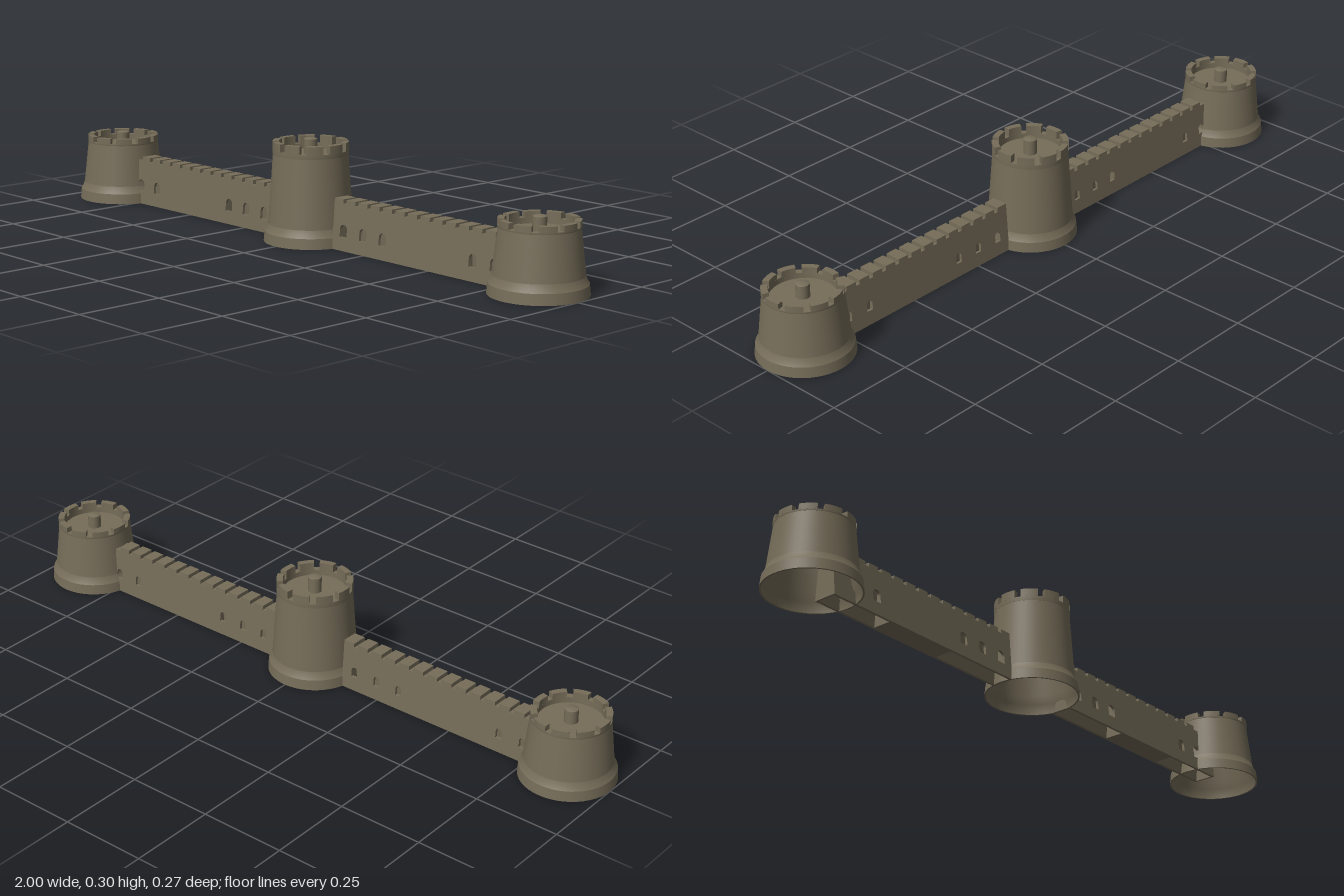
import * as THREE from 'three';

const stone = new THREE.MeshStandardMaterial({ color: 0x766d59 });
stone.name = 'stone';

function part(name, geometry, parent) {
  const mesh = new THREE.Mesh(geometry, stone);
  mesh.name = name;
  parent.add(mesh);
  return mesh;
}

// Smooth surface of revolution; each point list is one crisp band
function band(name, points, parent) {
  part(name, new THREE.LatheGeometry(points.map(p => new THREE.Vector2(...p)), 48), parent);
}

// Hollow round tower: y levels of the deck, notch floor and merlon top
function tower(name, x, seam, deck, notch, top) {
  const g = new THREE.Group();
  g.name = name;
  g.position.x = x;
  const rTop = 0.107, rIn = 0.09;
  band('towerFoot', [[0.134, 0], [0.131, 0.03]], g);
  band('towerFootSlope', [[0.131, 0.03], [0.125, 0.04], [0.121, 0.052]], g);
  band('towerBody', [[0.121, 0.052], [rTop, seam]], g);
  band('parapetOutside', [[rTop, seam], [rTop + 0.001, seam], [rTop + 0.001, notch]], g);
  band('parapetLedge', [[rTop + 0.001, notch], [rIn, notch]], g);
  band('parapetInside', [[rIn, notch], [rIn, deck]], g);
  band('deck', [[rIn, deck], [0, deck]], g);
  // inner faces of the open-bottomed shell
  band('towerInside', [[0.098, deck - 0.006], [0.115, 0.05], [0.127, 0.03], [0.129, 0]], g);
  band('towerBottomRim', [[0.129, 0], [0.134, 0]], g);
  band('deckUnderside', [[0, deck - 0.006], [0.098, deck - 0.006]], g);

  // merlons around the rim
  const count = 10, half = THREE.MathUtils.degToRad(13);
  for (let i = 0; i < count; i++) {
    const a = i * Math.PI * 2 / count;
    const s = new THREE.Shape();
    s.absarc(0, 0, rTop + 0.001, a - half, a + half, false);
    s.absarc(0, 0, rIn, a + half, a - half, true);
    s.closePath();
    const geo = new THREE.ExtrudeGeometry(s, { depth: top - notch, bevelEnabled: false, curveSegments: 5 });
    geo.rotateX(-Math.PI / 2);
    geo.translate(0, notch, 0);
    part('merlon', geo, g);
  }

  // central post with a slightly domed cap
  const cap = top + 0.01;
  band('postSide', [[0.019, deck], [0.019, cap - 0.004]], g);
  band('postCap', [[0.019, cap - 0.004], [0.012, cap - 0.001], [0, cap]], g);
  return g;
}

// The curtain wall leans inward as it rises
const halfDepth = y => 0.035 - 0.08 * y;

// Trapezoid block running along x
function prism(x0, x1, y0, y1, inset = 0) {
  const a = halfDepth(y0) - inset, b = halfDepth(y1) - inset;
  const s = new THREE.Shape([[-a, y0], [a, y0], [b, y1], [-b, y1]].map(p => new THREE.Vector2(...p)));
  const geo = new THREE.ExtrudeGeometry(s, { depth: Math.abs(x1 - x0), bevelEnabled: false });
  geo.rotateY(Math.PI / 2);
  geo.translate(Math.min(x0, x1), 0, 0);
  return geo;
}

// Thin wall face with arched window openings
function panel(x0, x1, top, windows, w, h, front) {
  const s = new THREE.Shape([[x0, 0], [x1, 0], [x1, top], [x0, top]].map(p => new THREE.Vector2(...p)));
  for (const x of windows) {
    const hole = new THREE.Path();
    const y0 = 0.056 - h / 2, y1 = 0.056 + h / 2 - w / 2;
    hole.moveTo(x - w / 2, y0);
    hole.lineTo(x + w / 2, y0);
    hole.lineTo(x + w / 2, y1);
    hole.absarc(x, y1, w / 2, 0, Math.PI, false);
    hole.closePath();
    s.holes.push(hole);
  }
  const t = 0.008;
  const geo = new THREE.ExtrudeGeometry(s, { depth: t, bevelEnabled: false, curveSegments: 6 });
  const p = geo.attributes.position;
  for (let i = 0; i < p.count; i++) {
    const d = halfDepth(p.getY(i));
    p.setZ(i, front ? p.getZ(i) - t + d : p.getZ(i) - d);
  }
  geo.computeVertexNormals();
  return geo;
}

function curtainWall(name, side) {
  const g = new THREE.Group();
  g.name = name;
  const start = 0.126, end = 0.82, walk = 0.132, under = 0.122;
  const x0 = Math.min(side * start, side * end), x1 = Math.max(side * start, side * end);
  const windows = [0.168, 0.246, 0.323, 0.662, 0.738].map(x => x * side);
  part('wallFront', panel(x0, x1, under, windows, 0.028, 0.036, true), g);
  part('wallBack', panel(x0, x1, under, windows, 0.02, 0.03, false), g);
  part('wallWalk', prism(x0, x1, under, walk), g);
  // solid core between the window chambers, and the end walls
  part('wallCore', prism(side * 0.37, side * 0.61, 0, under, 0.004), g);
  part('wallEndInner', prism(side * start, side * (start + 0.006), 0, under, 0.004), g);
  part('wallEndOuter', prism(side * (end - 0.006), side * end, 0, under, 0.004), g);
  // battlements
  for (let x = start; x < 0.75; x += 0.048) {
    part('wallMerlon', prism(side * x, side * Math.min(x + 0.035, 0.77), walk, 0.144), g);
  }
  return g;
}

export function createModel() {
  const model = new THREE.Group();
  model.name = 'fortifiedWall';
  model.add(tower('centreTower', 0, 0.25, 0.248, 0.263, 0.286));
  for (const side of [-1, 1]) {
    const label = side > 0 ? 'left' : 'right';
    model.add(tower(label + 'Tower', side * 0.866, 0.176, 0.165, 0.181, 0.197));
    model.add(curtainWall(label + 'Wall', side));
  }
  return model;
}
